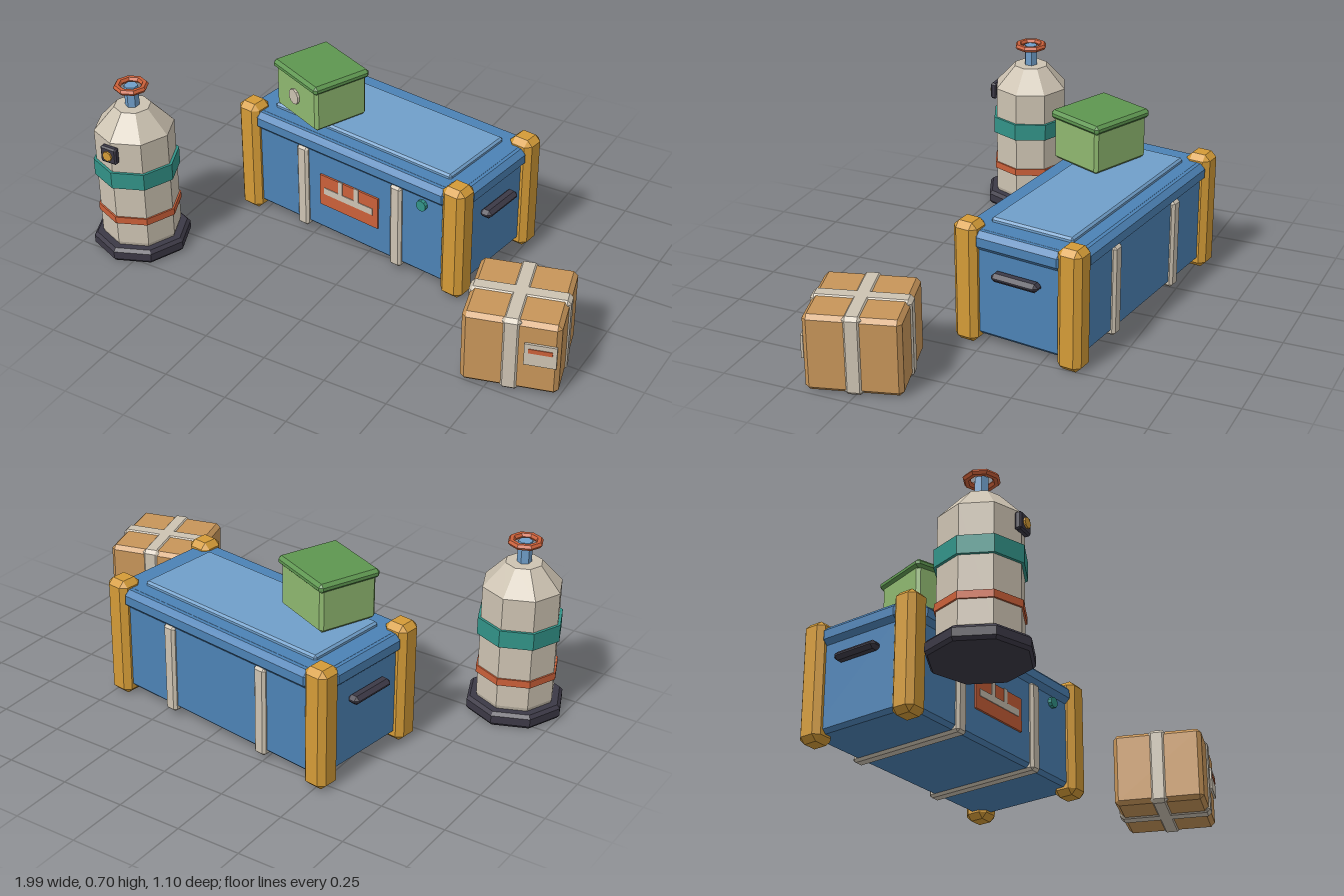
import * as THREE from 'three';
import { ConvexGeometry } from 'three/addons/geometries/ConvexGeometry.js';

const mat = (name, color) => {
  const m = new THREE.MeshStandardMaterial({ color, flatShading: true });
  m.name = name;
  return m;
};

export function createModel() {
  const blue = mat('blue', 0x4c82b5), lightBlue = mat('lightBlue', 0x709fca);
  const cream = mat('cream', 0xcdc3b2), orange = mat('orange', 0xcb6039);
  const teal = mat('teal', 0x329388), dark = mat('dark', 0x3c3946);
  const yellow = mat('yellow', 0xd49b37), cardboard = mat('cardboard', 0xc79559);
  const green = mat('green', 0x8fb870), darkGreen = mat('darkGreen', 0x5e9650);

  const model = new THREE.Group();
  model.name = 'cargo';

  const group = (name, x, y, z, turn = 0) => {
    const g = new THREE.Group();
    g.name = name;
    g.position.set(x, y, z);
    g.rotation.y = turn;
    model.add(g);
    return g;
  };
  const add = (parent, name, geometry, material, x = 0, y = 0, z = 0) => {
    const m = new THREE.Mesh(geometry, material);
    m.name = name;
    m.position.set(x, y, z);
    parent.add(m);
    return m;
  };
  // Box with every edge chamfered by b
  const chamferBox = (w, h, d, b) => {
    const pts = [];
    for (const sx of [-1, 1]) for (const sy of [-1, 1]) for (const sz of [-1, 1]) {
      const x = w / 2, y = h / 2, z = d / 2;
      pts.push(new THREE.Vector3(sx * x, sy * (y - b), sz * (z - b)));
      pts.push(new THREE.Vector3(sx * (x - b), sy * y, sz * (z - b)));
      pts.push(new THREE.Vector3(sx * (x - b), sy * (y - b), sz * z));
    }
    return new ConvexGeometry(pts);
  };
  const disc = (r, depth, sides) => new THREE.CylinderGeometry(r, r, depth, sides).rotateX(Math.PI / 2);

  // Large crate
  const crate = group('crate', -0.045, 0, -0.219, -0.14);
  add(crate, 'crateBody', chamferBox(1.01, 0.42, 0.47, 0.015), blue, 0, 0.24, 0);
  add(crate, 'lidPanel', chamferBox(0.84, 0.03, 0.34, 0.008), lightBlue, 0, 0.452, 0);
  for (const s of [-1, 1]) {
    add(crate, 'longRim', chamferBox(0.92, 0.075, 0.06, 0.02), blue, 0, 0.412, s * 0.225);
    add(crate, 'endRim', chamferBox(0.06, 0.075, 0.37, 0.02), blue, s * 0.494, 0.412, 0);
    add(crate, 'handle', chamferBox(0.05, 0.034, 0.195, 0.014), dark, s * 0.525, 0.298, 0);
    add(crate, 'strap', chamferBox(0.053, 0.36, 0.5, 0.01), cream, s * 0.225, 0.2, 0);
    for (const t of [-1, 1])
      add(crate, 'cornerPost', chamferBox(0.098, 0.478, 0.098, 0.022), yellow, s * 0.4885, 0.239, t * 0.216);
  }
  // Front plate with its pale marks
  add(crate, 'frontLabel', new THREE.BoxGeometry(0.28, 0.135, 0.009), orange, 0, 0.218, 0.2385);
  add(crate, 'labelBar', new THREE.BoxGeometry(0.235, 0.028, 0.006), cream, 0, 0.219, 0.243);
  for (const s of [-1, 1])
    add(crate, 'labelMark', new THREE.BoxGeometry(0.02, 0.058, 0.006), cream, s * 0.038, 0.26, 0.243);
  add(crate, 'button', disc(0.022, 0.02, 10), teal, 0.345, 0.345, 0.24);

  // Small green box on the crate
  const box = group('smallBox', -0.3, 0, -0.154, -0.42);
  add(box, 'smallBoxBody', chamferBox(0.268, 0.18, 0.235, 0.012), green, 0, 0.563, 0);
  add(box, 'smallBoxLid', chamferBox(0.288, 0.036, 0.255, 0.012), darkGreen, 0, 0.653, 0);
  add(box, 'smallBoxDisc', disc(0.031, 0.014, 10), cream, -0.005, 0.568, 0.12);

  // Gas tank
  const tank = group('tank', -0.813, 0, 0.358);
  const ring = (name, material, points) =>
    add(tank, name, new THREE.LatheGeometry(points.map(([r, y]) => new THREE.Vector2(r, y)), 8), material);
  ring('tankBase', dark, [[0, 0], [0.178, 0], [0.188, 0.012], [0.188, 0.043], [0.176, 0.056], [0, 0.056]]);
  ring('tankBody', cream, [[0, 0.05], [0.145, 0.05], [0.152, 0.07], [0.152, 0.515], [0.07, 0.605], [0, 0.605]]);
  ring('tealBand', teal, [[0.14, 0.322], [0.163, 0.322], [0.163, 0.39], [0.14, 0.39]]);
  ring('orangeBand', orange, [[0.14, 0.16], [0.159, 0.16], [0.159, 0.188], [0.14, 0.188]]);
  add(tank, 'valveStem', new THREE.CylinderGeometry(0.027, 0.027, 0.09, 6), lightBlue, 0, 0.643, 0);
  const wheel = new THREE.TorusGeometry(0.053, 0.014, 6, 8).rotateX(Math.PI / 2).scale(1, 0.85, 1);
  add(tank, 'valveWheel', wheel, orange, 0, 0.685, 0);
  add(tank, 'tankPlate', chamferBox(0.07, 0.068, 0.026, 0.006), dark, 0, 0.47, 0.157);
  add(tank, 'tankMark', disc(0.02, 0.008, 8), yellow, 0, 0.47, 0.173);

  // Taped carton
  const carton = group('carton', 0.783, 0, 0.3, 0.265);
  add(carton, 'cartonBody', chamferBox(0.35, 0.296, 0.35, 0.016), cardboard, 0, 0.153, 0);
  add(carton, 'tapeFrontToBack', chamferBox(0.072, 0.306, 0.362, 0.014), cream, 0, 0.153, 0);
  add(carton, 'tapeSideToSide', chamferBox(0.362, 0.306, 0.072, 0.014), cream, 0, 0.153, 0);
  add(carton, 'cartonLabel', new THREE.BoxGeometry(0.115, 0.09, 0.009), cream, 0.107, 0.173, 0.179);
  add(carton, 'cartonLabelBar', new THREE.BoxGeometry(0.085, 0.018, 0.006), orange, 0.107, 0.19, 0.183);

  return model;
}
